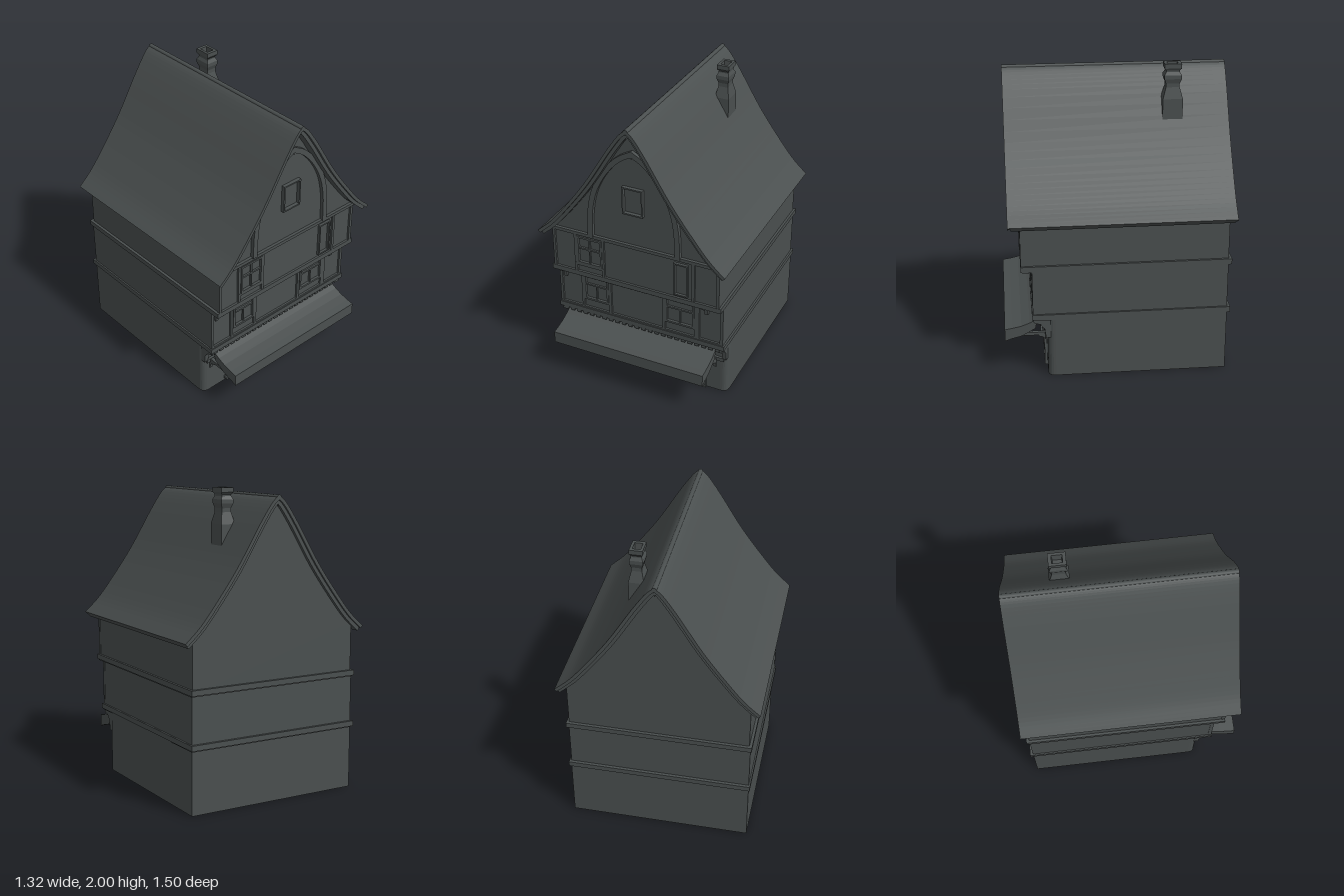
import * as THREE from 'three';

export function createModel() {
  const model = new THREE.Group();
  const slate = new THREE.MeshStandardMaterial({ color: 0x4a4f4f });
  slate.name = 'slate grey';

  const add = (name, geometry, parent = model) => {
    const mesh = new THREE.Mesh(geometry, slate);
    mesh.name = name;
    parent.add(mesh);
    return mesh;
  };
  // Box given by its limits on each axis
  const box = (name, x0, x1, y0, y1, z0, z1, parent) => {
    const m = add(name, new THREE.BoxGeometry(x1 - x0, y1 - y0, z1 - z0), parent);
    m.position.set((x0 + x1) / 2, (y0 + y1) / 2, (z0 + z1) / 2);
    return m;
  };
  const toShape = pts => new THREE.Shape(pts.map(p => new THREE.Vector2(p[0], p[1])));
  // Outline in x,y pushed from z0 to z1
  const slab = (name, pts, z0, z1, parent) => {
    const g = new THREE.ExtrudeGeometry(toShape(pts), { depth: z1 - z0, bevelEnabled: false });
    g.translate(0, 0, z0);
    return add(name, g, parent);
  };
  // Outline in z,y pushed from x0 to x1
  const sideSlab = (name, pts, x0, x1, parent) => {
    const g = new THREE.ExtrudeGeometry(toShape(pts.map(([z, y]) => [-z, y])), { depth: x1 - x0, bevelEnabled: false });
    g.rotateY(Math.PI / 2);
    g.translate(x0, 0, 0);
    return add(name, g, parent);
  };
  // Half curve (apex to foot) sampled and offset inwards, mirrored to both sides
  const spline = (pts, n) => new THREE.CatmullRomCurve3(pts.map(p => new THREE.Vector3(p[0], p[1], 0))).getPoints(n);
  const mirrored = (half, offset) => {
    const side = half.map((p, i) => {
      const a = half[Math.max(i - 1, 0)], b = half[Math.min(i + 1, half.length - 1)];
      const dx = b.x - a.x, dy = b.y - a.y, l = Math.hypot(dx, dy);
      return i === 0 ? [0, p.y - offset * 1.5] : [p.x + dy / l * offset, p.y - dx / l * offset];
    });
    return [...side.slice(1).reverse().map(([x, y]) => [-x, y]), ...side];
  };
  const band = (half, o0, o1) => [...mirrored(half, o0), ...mirrored(half, o1).reverse()];

  // Ground floor with rounded front corners
  const r = 0.05, ground = new THREE.Shape();
  ground.moveTo(-0.605, 0.71);
  ground.lineTo(-0.605, -0.47 + r);
  ground.quadraticCurveTo(-0.605, -0.47, -0.605 + r, -0.47);
  ground.lineTo(0.6 - r, -0.47);
  ground.quadraticCurveTo(0.6, -0.47, 0.6, -0.47 + r);
  ground.lineTo(0.6, 0.71);
  const groundGeo = new THREE.ExtrudeGeometry(ground, { depth: 0.43, bevelEnabled: false, curveSegments: 6 });
  groundGeo.rotateX(-Math.PI / 2);
  groundGeo.scale(1, 1, 1);
  add('groundFloor', groundGeo);

  // Upper floors, each jettied a little further forward
  box('middleFloor', -0.605, 0.597, 0.42, 0.78, -0.71, 0.55);
  box('upperFloor', -0.597, 0.594, 0.77, 1.12, -0.71, 0.62);
  for (const [y, front] of [[0.42, 0.57], [0.765, 0.635]]) {
    box('floorBand', -0.615, 0.61, y, y + 0.035, -0.73, front);
    box('floorBandLip', -0.609, 0.604, y - 0.008, y, -0.72, front - 0.01);
  }

  // Roof and gable share one sweeping curve
  const roofHalf = spline([[0, 1.962], [0.04, 1.93], [0.12, 1.82], [0.3, 1.53], [0.45, 1.325], [0.56, 1.19], [0.662, 1.095]], 28);
  slab('roof', band(roofHalf, 0, 0.022), -0.75, 0.71);
  slab('bargeBoard', band(roofHalf, 0.021, 0.045), -0.735, 0.69);
  const gable = mirrored(roofHalf, 0.03).filter(p => Math.abs(p[0]) < 0.594);
  slab('gable', [[-0.594, 1.08], ...gable, [0.594, 1.08]], -0.71, 0.62);
  const ridge = add('ridge', new THREE.CylinderGeometry(0.016, 0.016, 1.46, 10));
  ridge.rotation.x = Math.PI / 2;
  ridge.position.set(0, 1.949, -0.02);

  // Pointed arch of curved braces on the gable
  const archHalf = spline([[0, 1.79], [0.1, 1.73], [0.2, 1.62], [0.28, 1.47], [0.318, 1.31], [0.328, 1.1]], 24);
  slab('gableArch', band(archHalf, 0, 0.036), 0.61, 0.645);
  box('gableBeam', -0.597, 0.594, 1.085, 1.108, 0.6, 0.64);

  // Window: outer frame plus glazing bars, v = upright bars, h = crossbars
  const win = (name, x0, x1, y0, y1, z, v = [], h = [], t = 0.014, d = 0.018) => {
    const g = new THREE.Group();
    g.name = name;
    model.add(g);
    box('frameLeft', x0, x0 + t, y0, y1, z - 0.01, z + d, g);
    box('frameRight', x1 - t, x1, y0, y1, z - 0.01, z + d, g);
    box('frameSill', x0, x1, y0, y0 + t, z - 0.01, z + d, g);
    box('frameHead', x0, x1, y1 - t, y1, z - 0.01, z + d, g);
    for (const [x, a, b] of v) box('upright', x - 0.005, x + 0.005, a, b, z - 0.01, z + d * 0.7, g);
    for (const y of h) box('crossbar', x0, x1, y - 0.006, y + 0.006, z - 0.01, z + d * 0.7, g);
  };
  win('atticWindow', -0.072, 0.072, 1.335, 1.528, 0.62, [], [], 0.01, 0.025);
  win('upperLeftWindow', -0.42, -0.235, 0.865, 1.075, 0.62, [[-0.328, 0.87, 1.07]], [0.983]);
  win('upperRightWindow', 0.28, 0.378, 0.818, 1.06, 0.62, [], [], 0.01);
  win('middleLeftWindow', -0.42, -0.235, 0.53, 0.738, 0.55, [[-0.328, 0.535, 0.65]], [0.652]);
  win('middleRightWindow', 0.185, 0.395, 0.53, 0.738, 0.55, [[0.29, 0.535, 0.65]], [0.652]);
  win('shopWindow', -0.41, 0.115, 0.03, 0.265, 0.47);
  box('shopSill', -0.42, 0.1, 0.022, 0.04, 0.46, 0.5);
  win('door', 0.255, 0.45, 0, 0.265, 0.47, [[0.36, 0.11, 0.26], [0.376, 0.11, 0.26]], [0.11], 0.012);

  // Timber posts and rails on the front
  const posts = (xs, y0, y1, z) => xs.forEach(([a, b]) => box('timberPost', a, b, y0, y1, z - 0.01, z + 0.014));
  posts([[-0.6, -0.582], [-0.44, -0.422], [-0.238, -0.22], [0.405, 0.425], [0.576, 0.596]], 0.8, 1.09, 0.62);
  posts([[-0.607, -0.588], [-0.44, -0.422], [-0.235, -0.215], [0.165, 0.183], [0.395, 0.43], [0.578, 0.599]], 0.455, 0.765, 0.55);
  box('upperRail', -0.44, -0.22, 0.848, 0.866, 0.61, 0.635);
  box('middleRail', -0.605, 0.597, 0.455, 0.467, 0.54, 0.564);

  // Small blocks in a row below each band
  const dentils = (x0, x1, y0, y1, z, n) => {
    const step = (x1 - x0) / n;
    for (let i = 0; i < n; i++) box('dentil', x0 + step * i, x0 + step * (i + 0.6), y0, y1, z - 0.06, z);
  };
  dentils(-0.44, 0.42, 0.744, 0.768, 0.61, 16);
  dentils(-0.585, 0.595, 0.398, 0.422, 0.563, 24);

  // Curved corbels, profile in z,y from the wall outwards
  const corbel = (name, x, w, z, y, depth, drop) => sideSlab(name, [
    [z - 0.01, y], [z + depth, y], [z + depth, y - drop * 0.2], [z + depth * 0.55, y - drop * 0.3],
    [z + depth * 0.28, y - drop * 0.55], [z + depth * 0.22, y - drop], [z - 0.01, y - drop],
  ], x - w / 2, x + w / 2);
  for (const x of [-0.56, 0.48]) corbel('upperCorbel', x, 0.022, 0.55, 0.765, 0.07, 0.09);
  for (const x of [-0.585, 0.578]) corbel('lowerCorbel', x, 0.03, 0.46, 0.42, 0.1, 0.14);
  for (const x of [-0.54, 0.135, 0.51]) {
    corbel('awningBracket', x, 0.02, 0.465, 0.268, 0.06, 0.07);
    box('awningArm', x - 0.012, x + 0.012, 0.264, 0.285, 0.46, 0.64);
  }
  box('shopBeam', -0.58, 0.575, 0.262, 0.288, 0.46, 0.487);

  // Sloping shop awning with a hanging front edge
  sideSlab('awning', [
    [0.5, 0.4], [0.535, 0.392], [0.585, 0.366], [0.64, 0.345], [0.7, 0.332], [0.75, 0.324], [0.75, 0.24],
    [0.7, 0.257], [0.64, 0.272], [0.59, 0.3], [0.548, 0.325], [0.54, 0.365], [0.5, 0.385],
  ], -0.565, 0.54);

  // Square chimney with moulded neck and open top
  const profile = [[0.05, 1.55], [0.05, 1.77], [0.034, 1.845], [0.034, 1.87], [0.043, 1.9], [0.043, 1.925], [0.034, 1.945],
    [0.034, 1.955], [0.043, 1.97], [0.043, 2], [0.026, 2], [0.022, 1.94], [0, 1.94]];
  const chimneyGeo = new THREE.LatheGeometry(profile.map(([x, y]) => new THREE.Vector2(x * Math.SQRT2, y)), 4, Math.PI / 4).toNonIndexed();
  chimneyGeo.scale(1, 1, 1.3);
  chimneyGeo.computeVertexNormals();
  add('chimney', chimneyGeo).position.set(0.183, 0, -0.38);

  return model;
}
